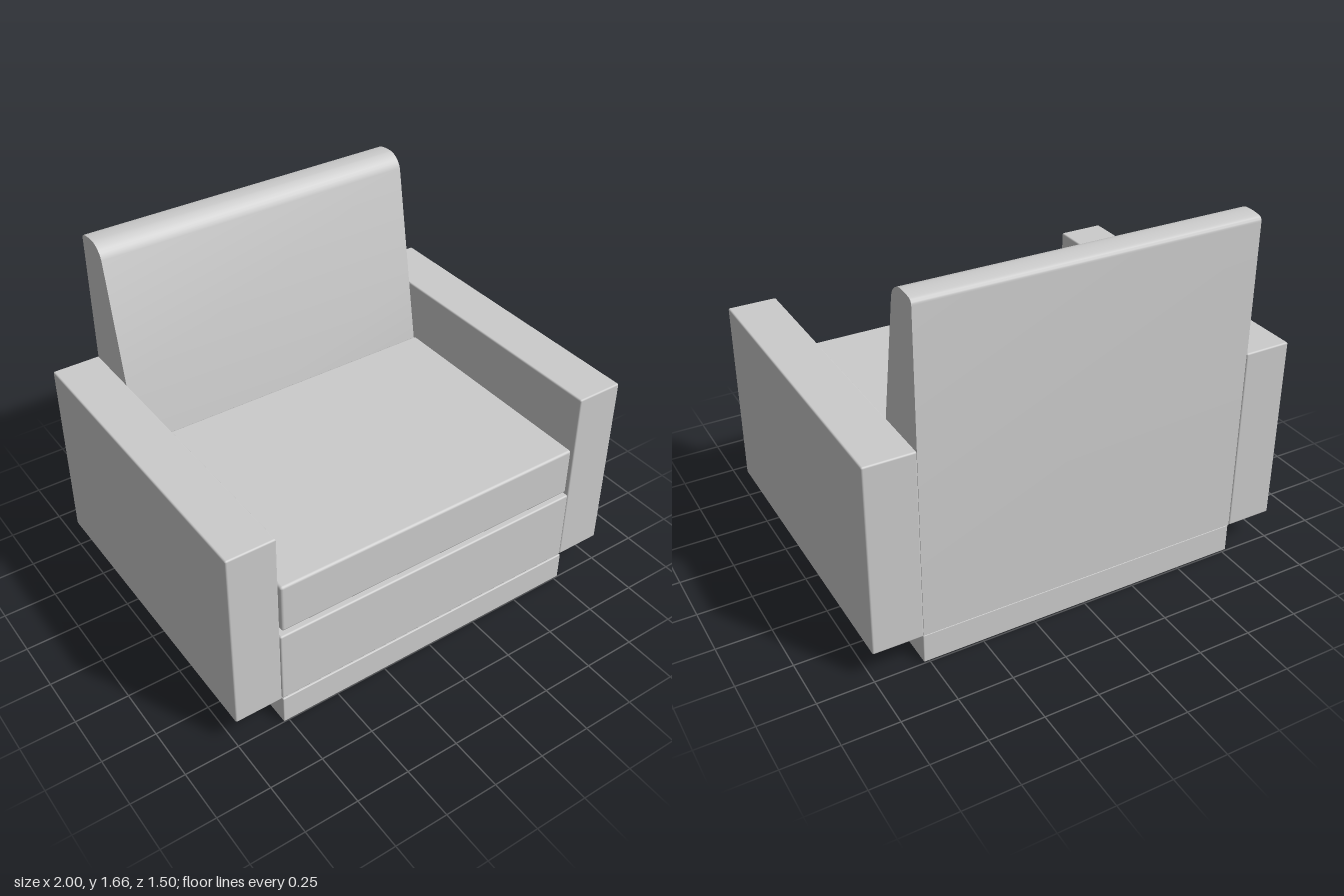
import * as THREE from 'three';
import { toCreasedNormals } from 'three/addons/utils/BufferGeometryUtils.js';
import { RoundedBoxGeometry } from 'three/addons/geometries/RoundedBoxGeometry.js';

const grey = new THREE.MeshStandardMaterial({ color: 0xcccccc });

// Softly edged box given by its lower and upper corners
function block(name, [x0, y0, z0], [x1, y1, z1], radius) {
  const mesh = new THREE.Mesh(new RoundedBoxGeometry(x1 - x0, y1 - y0, z1 - z0, 2, radius), grey);
  mesh.position.set((x0 + x1) / 2, (y0 + y1) / 2, (z0 + z1) / 2);
  mesh.name = name;
  return mesh;
}

// Backrest: side profile drawn as (-z, y), swept across the width
function backrest(x0, x1) {
  const s = new THREE.Shape();
  s.moveTo(0.745, 0.14);
  s.lineTo(0.745, 1.63);
  s.quadraticCurveTo(0.745, 1.65, 0.725, 1.655);
  s.quadraticCurveTo(0.68, 1.664, 0.64, 1.66);
  s.quadraticCurveTo(0.59, 1.645, 0.575, 1.6);
  s.lineTo(0.47, 1.03);
  s.lineTo(0.37, 0.5);
  s.lineTo(0.37, 0.14);
  const geo = new THREE.ExtrudeGeometry(s, { depth: x1 - x0, bevelEnabled: false, curveSegments: 6 });
  geo.rotateY(Math.PI / 2); // profile x becomes -z, depth becomes +x
  geo.translate(x0, 0, 0);
  const mesh = new THREE.Mesh(toCreasedNormals(geo, 0.6), grey);
  mesh.name = 'backrest';
  return mesh;
}

export function createModel() {
  const chair = new THREE.Group();
  chair.name = 'armchair';

  // Recessed plinth and the seat frame above it
  chair.add(block('plinth', [-0.775, 0, -0.745], [0.775, 0.14, 0.75], 0.005));
  chair.add(block('seatFrame', [-0.775, 0.14, -0.6], [0.775, 0.5, 0.745], 0.008));

  // Loose cushion, resting just above the frame
  chair.add(block('seatCushion', [-0.76, 0.515, -0.4], [0.768, 0.755, 0.735], 0.012));

  chair.add(backrest(-0.78, 0.772));

  // Arms
  chair.add(block('leftArm', [0.773, 0.14, -0.75], [1, 1.03, 0.745], 0.008));
  chair.add(block('rightArm', [-1, 0.14, -0.75], [-0.777, 1.03, 0.745], 0.008));
  return chair;
}
